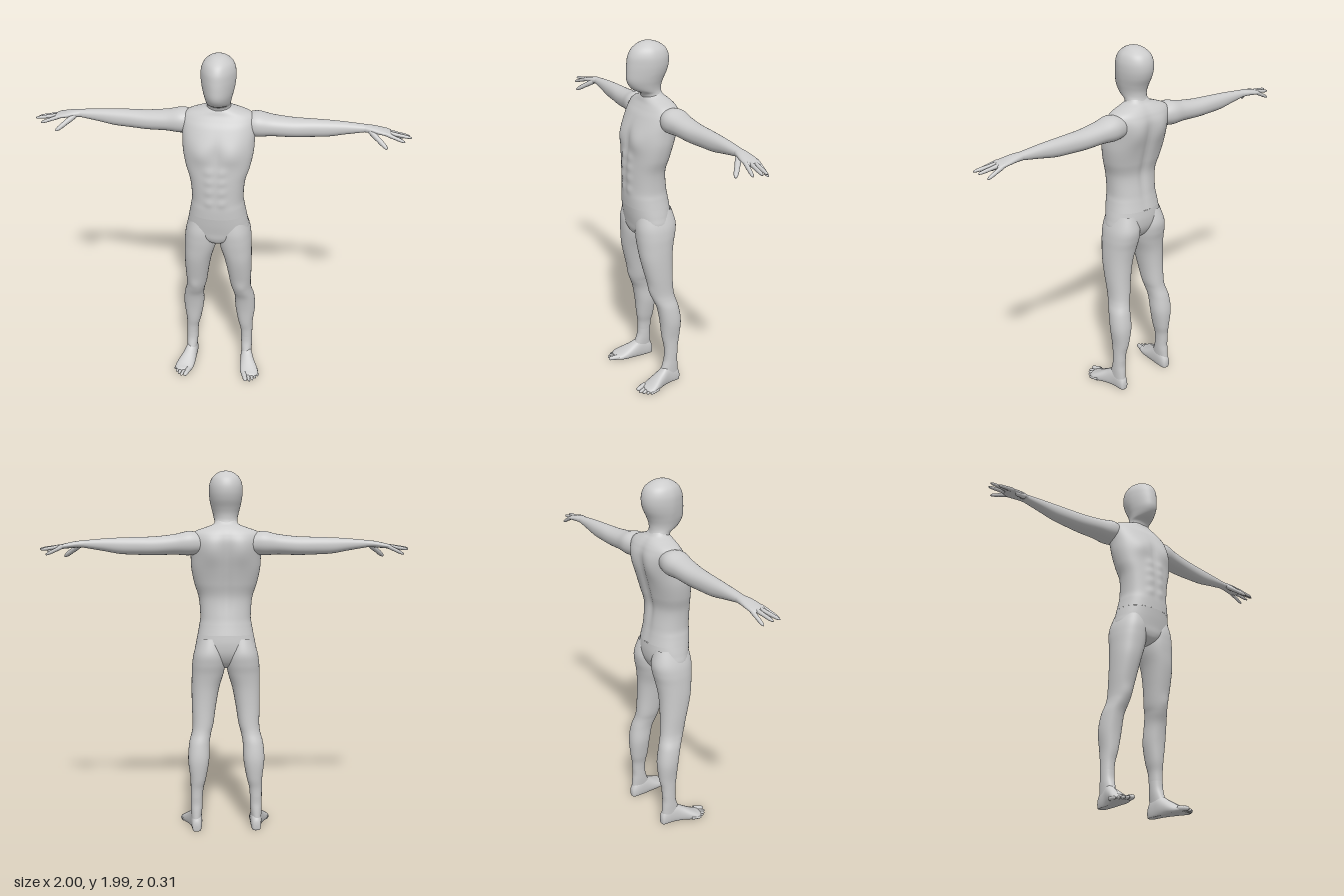
import * as THREE from 'three';

const material = new THREE.MeshStandardMaterial({ color: 0xcccccc, side: THREE.DoubleSide });

// Lofts smooth rings through rows [t, a0, a1, b0, b1]; place(t, a, b, side) returns x, y, z.
// "side" runs from +1 where b is largest to -1 where b is smallest.
function loft(name, rows, place, { seg = 48, sub = 7, power = 2.2 } = {}) {
  const pos = [], index = [];
  const value = (i, k, u) => {
    const at = (j) => rows[Math.min(Math.max(j, 0), rows.length - 1)][k];
    const p0 = at(i - 1), p1 = at(i), p2 = at(i + 1), p3 = at(i + 2);
    const m1 = (p2 - p0) / 2, m2 = (p3 - p1) / 2;
    return p1 + u * (m1 + u * (3 * (p2 - p1) - 2 * m1 - m2 + u * (2 * (p1 - p2) + m1 + m2)));
  };
  const rings = (rows.length - 1) * sub;
  const curve = (v) => Math.sign(v) * Math.abs(v) ** (2 / power);
  for (let r = 0; r <= rings; r++) {
    const i = Math.min(Math.floor(r / sub), rows.length - 2), u = r / sub - i;
    const [t, a0, a1, b0, b1] = [0, 1, 2, 3, 4].map((k) => value(i, k, u));
    for (let s = 0; s < seg; s++) {
      const w = (s / seg) * Math.PI * 2;
      const a = (a0 + a1) / 2 + curve(Math.cos(w)) * (a1 - a0) / 2;
      const b = (b0 + b1) / 2 + curve(Math.sin(w)) * (b1 - b0) / 2;
      pos.push(...place(t, a, b, Math.sin(w)));
      if (r < rings) {
        const n = (s + 1) % seg, k = r * seg;
        index.push(k + s, k + seg + s, k + n, k + n, k + seg + s, k + seg + n);
      }
    }
  }
  const geo = new THREE.BufferGeometry();
  geo.setAttribute('position', new THREE.Float32BufferAttribute(pos, 3));
  // Turn the faces outward when the volume comes out negative
  geo.computeBoundingBox();
  const c = geo.boundingBox.getCenter(new THREE.Vector3());
  const corner = (i) => new THREE.Vector3().fromArray(pos, i * 3).sub(c);
  let volume = 0;
  for (let i = 0; i < index.length; i += 3)
    volume += corner(index[i]).dot(corner(index[i + 1]).cross(corner(index[i + 2])));
  geo.setIndex(volume < 0 ? index.reverse() : index);
  geo.computeVertexNormals();
  const mesh = new THREE.Mesh(geo, material);
  mesh.name = name;
  return mesh;
}

// Tapered, round-tipped finger or toe
function digit(name, from, to, r) {
  const a = new THREE.Vector3(...from), d = new THREE.Vector3(...to).sub(a), L = d.length();
  const profile = [[1, 0], [1.02, 0.3], [0.88, 0.5], [0.9, 0.65], [0.75, 0.85], [0.5, 0.95], [0.25, 0.99], [0, 1]]
    .map(([x, y]) => new THREE.Vector2(x * r, y * L));
  const mesh = new THREE.Mesh(new THREE.LatheGeometry(profile, 14), material);
  mesh.position.copy(a);
  mesh.quaternion.setFromUnitVectors(new THREE.Vector3(0, 1, 0), d.normalize());
  mesh.name = name;
  return mesh;
}

const bump = (x, y, cx, cy, rx, ry) => Math.exp(-(((x - cx) / rx) ** 2) - ((y - cy) / ry) ** 2);
const even = (rows) => rows.map(([y, w, z0, z1]) => [y, -w, w, z0, z1]);

function createTorso() {
  const rows = even([
    [1.1, 0.155, -0.115, 0.122], [1.15, 0.146, -0.105, 0.124], [1.2, 0.14, -0.097, 0.122],
    [1.3, 0.148, -0.088, 0.121], [1.38, 0.172, -0.105, 0.116], [1.46, 0.188, -0.124, 0.11],
    [1.53, 0.192, -0.138, 0.1], [1.6, 0.196, -0.145, 0.07], [1.64, 0.19, -0.138, 0.045],
    [1.665, 0.165, -0.126, 0.03], [1.685, 0.11, -0.11, 0.022], [1.7, 0.072, -0.094, 0.015],
    [1.72, 0.055, -0.08, 0.005]]);
  return loft('torso', rows, (y, x, z, side) => {
    const ax = Math.abs(x), front = Math.max(side, 0), back = Math.max(-side, 0);
    // chest and stomach muscles
    let f = 0.014 * bump(ax, y, 0.085, 1.475, 0.06, 0.055) - 0.006 * bump(ax, y, 0, 1.47, 0.02, 0.08);
    for (const cy of [1.2, 1.265, 1.325, 1.38]) f += 0.007 * bump(ax, y, 0.035, cy, 0.026, 0.026);
    // shoulder blades and spine
    const b = 0.017 * bump(ax, y, 0.085, 1.56, 0.06, 0.08) - 0.013 * bump(ax, y, 0, 1.4, 0.025, 0.22);
    return [x, y, z + front * f - back * b];
  }, { seg: 80, sub: 9, power: 2.25 });
}

function createHead() {
  const rows = even([
    [1.69, 0.066, -0.092, 0.018], [1.715, 0.062, -0.084, 0.032], [1.735, 0.065, -0.082, 0.073],
    [1.76, 0.071, -0.085, 0.097], [1.79, 0.079, -0.096, 0.109], [1.83, 0.087, -0.115, 0.11],
    [1.87, 0.091, -0.125, 0.107], [1.91, 0.089, -0.123, 0.1], [1.945, 0.076, -0.107, 0.08],
    [1.97, 0.051, -0.074, 0.047], [1.982, 0.027, -0.042, 0.018], [1.986, 0, -0.012, -0.012]]);
  // narrows toward the face
  return loft('head', rows, (y, x, z) => [x * (1 - 2.2 * Math.max(0, z)), y, z], { power: 2.1 });
}

function createPelvis() {
  const rows = even([
    [1.1, 0.155, -0.115, 0.122], [1.05, 0.165, -0.118, 0.115], [1, 0.17, -0.112, 0.106],
    [0.96, 0.13, -0.095, 0.1], [0.93, 0.07, -0.07, 0.085], [0.91, 0.025, -0.03, 0.05],
    [0.905, 0, 0, 0]]);
  return loft('pelvis', rows, (y, x, z) => [x, y, z]);
}

function createLeg(s) {
  const rows = [
    [1.08, 0.02, 0.148, -0.105, 0.088], [1, 0.004, 0.176, -0.127, 0.103], [0.94, 0.002, 0.186, -0.122, 0.103],
    [0.88, 0.012, 0.189, -0.108, 0.098], [0.8, 0.036, 0.191, -0.097, 0.088], [0.7, 0.055, 0.19, -0.095, 0.065],
    [0.6, 0.07, 0.187, -0.1, 0.038], [0.55, 0.083, 0.192, -0.107, 0.025], [0.49, 0.093, 0.207, -0.124, 0.002],
    [0.4, 0.096, 0.213, -0.137, -0.015], [0.3, 0.113, 0.202, -0.13, -0.025], [0.24, 0.128, 0.2, -0.119, -0.035],
    [0.19, 0.133, 0.2, -0.116, -0.037]];
  // with a slight kneecap
  return loft('leg', rows, (y, x, z, side) =>
    [s * x, y, z + Math.max(side, 0) * 0.008 * bump(x, y, 0.135, 0.6, 0.035, 0.04)]);
}

function createFoot(s) {
  const foot = new THREE.Group();
  foot.name = 'foot';
  foot.add(loft('ankle', [
    [0.19, 0.133, 0.2, -0.116, -0.037], [0.15, 0.134, 0.2, -0.114, -0.034],
    [0.11, 0.136, 0.2, -0.118, -0.022], [0.05, 0.142, 0.198, -0.122, 0]], (y, x, z) => [s * x, y, z]));
  // flat sole
  foot.add(loft('sole', [
    [-0.131, 0.167, 0.167, 0.03, 0.03], [-0.125, 0.148, 0.188, -0.01, 0.06], [-0.1, 0.138, 0.196, -0.02, 0.095],
    [-0.05, 0.136, 0.204, -0.02, 0.115], [0, 0.137, 0.222, -0.015, 0.085], [0.05, 0.14, 0.246, -0.012, 0.055],
    [0.085, 0.148, 0.253, -0.008, 0.036], [0.11, 0.16, 0.235, 0, 0.026], [0.118, 0.19, 0.2, 0.01, 0.014]],
  (z, x, y) => [s * x, Math.max(y, 0), z]));
  // toes: base x, tip x, tip z, radius
  [[0.168, 0.186, 0.157, 0.015], [0.19, 0.209, 0.153, 0.0105], [0.208, 0.226, 0.14, 0.0105],
    [0.224, 0.241, 0.122, 0.01], [0.238, 0.253, 0.1, 0.01]].forEach(([x0, x1, z, r]) =>
    foot.add(digit('toe', [s * x0, r + 0.004, z - 0.06], [s * x1, r - 0.003, z], r)));
  return foot;
}

function createArm(s) {
  return loft('arm', [
    [0.12, 1.55, 1.645, -0.115, -0.01], [0.195, 1.535, 1.665, -0.136, 0.015], [0.28, 1.539, 1.648, -0.13, 0.002],
    [0.385, 1.536, 1.636, -0.126, -0.012], [0.48, 1.539, 1.633, -0.122, -0.026], [0.57, 1.544, 1.63, -0.118, -0.036],
    [0.66, 1.56, 1.625, -0.112, -0.046], [0.76, 1.577, 1.616, -0.106, -0.055]],
  (x, y, z) => [s * x, y, z]);
}

function createHand(s) {
  const hand = new THREE.Group();
  hand.name = 'hand';
  hand.add(loft('palm', [
    [0.755, 1.577, 1.616, -0.106, -0.055], [0.8, 1.577, 1.612, -0.112, -0.043], [0.85, 1.573, 1.602, -0.116, -0.034],
    [0.885, 1.571, 1.593, -0.113, -0.034], [0.9, 1.578, 1.583, -0.1, -0.045]], (x, y, z) => [s * x, y, z]));
  // fingers: base z, then tip x, y, z
  [[-0.043, 0.965, 1.556, -0.018], [-0.064, 1, 1.57, -0.045], [-0.085, 0.992, 1.566, -0.076],
    [-0.104, 0.962, 1.54, -0.104]].forEach(([z0, x, y, z]) =>
    hand.add(digit('finger', [s * 0.865, 1.586, z0], [s * x, y, z], 0.0105)));
  hand.add(digit('thumb', [s * 0.785, 1.59, -0.062], [s * 0.877, 1.527, 0.015], 0.0145));
  return hand;
}

export function createModel() {
  const model = new THREE.Group();
  model.name = 'figure';
  model.add(createTorso(), createHead(), createPelvis());
  for (const s of [1, -1]) model.add(createLeg(s), createFoot(s), createArm(s), createHand(s));
  return model;
}
